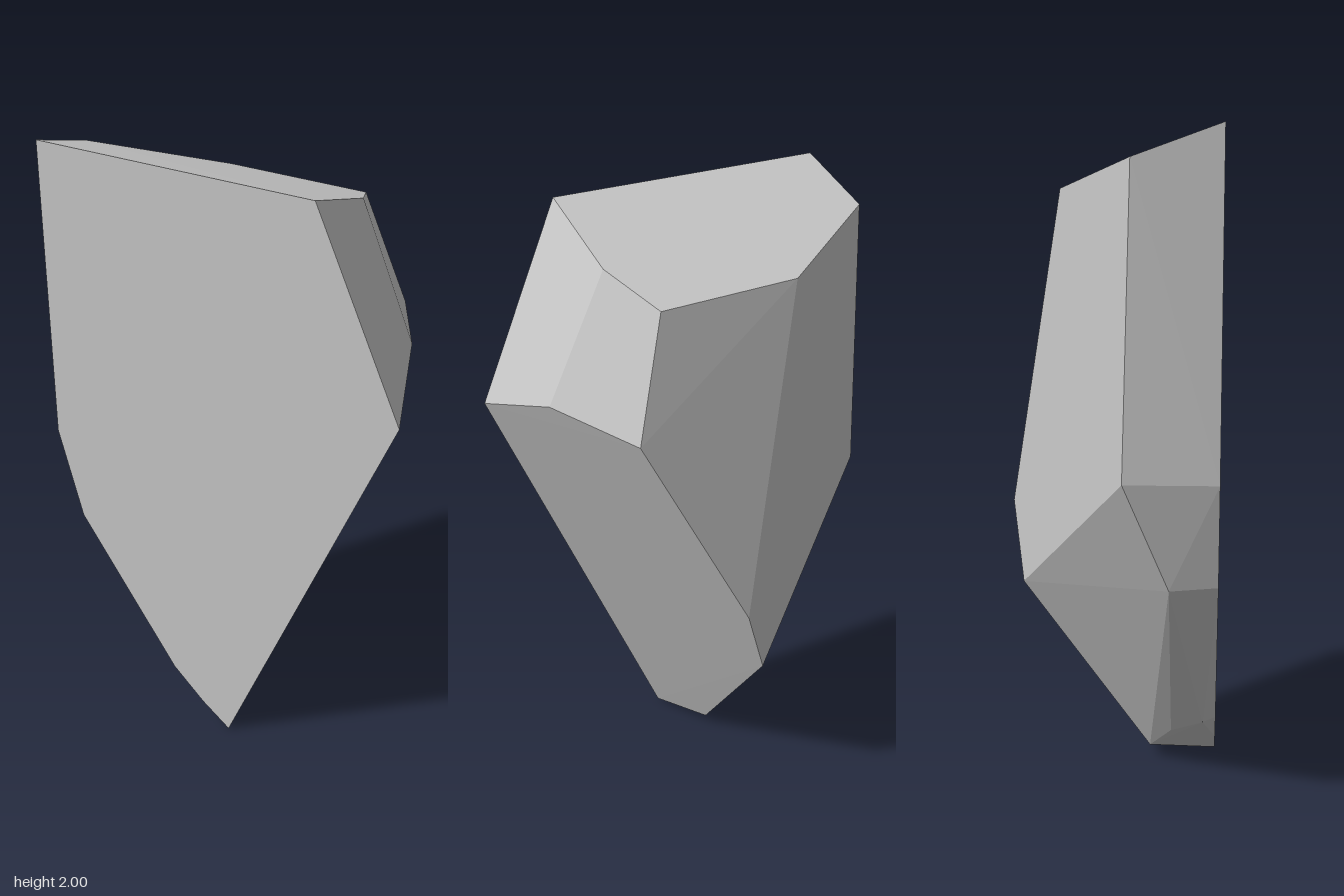
import * as THREE from 'three';
import { ConvexGeometry } from 'three/addons/geometries/ConvexGeometry.js';

const FRONT = 0.33; // depth of the flat cut face

export function createModel() {
  const group = new THREE.Group();
  group.name = 'rockShard';
  const stone = new THREE.MeshStandardMaterial({ color: 0xc8c8c8 });
  stone.name = 'light grey stone';

  // Outline of the flat front face
  const frontOutline = [
    [-0.55, 1.99], [0.32, 2.0], [0.585, 1.405], [0.03, 0],
    [-0.07, 0.08], [-0.18, 0.19], [-0.51, 0.71], [-0.58, 1.02],
  ].map(([x, y]) => [x, y, FRONT]);

  // Rear corners of the sloping top
  const topRim = [
    [0.31, 1.89, 0.03], [0.23, 1.82, -0.155], [-0.21, 1.82, -0.145], [-0.57, 1.9, 0.08],
  ];

  // Shoulder, back ridge, lower tip and thin right edge
  const body = [
    [0.488, 1.5, 0.05], [0.34, 1.465, -0.23],
    [0.04, 0.83, -0.33], [-0.04, 0.58, -0.29],
    [-0.058, 0.04, 0.12], [-0.15, 0.13, 0.19], [-0.2, 0.18, 0.29],
    [-0.52, 0.7, 0.19], [-0.587, 1.02, 0.06],
  ];

  // Flat facets stretched around all the corners
  const corners = [...frontOutline, ...topRim, ...body].map((p) => new THREE.Vector3(...p));
  const rock = new THREE.Mesh(new ConvexGeometry(corners), stone);
  rock.name = 'rock';
  group.add(rock);
  return group;
}
